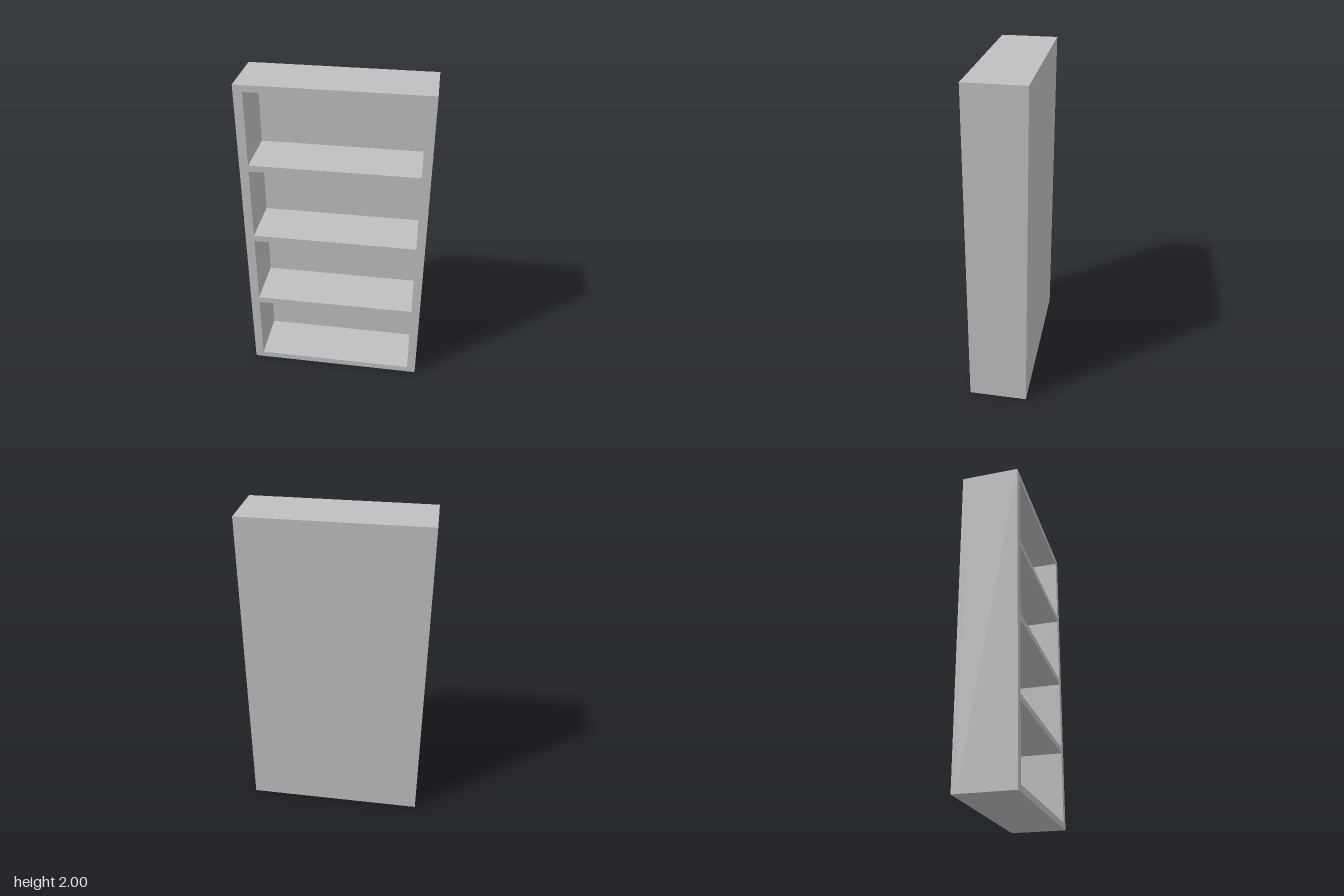
import * as THREE from 'three';

const WIDTH = 1.108, HEIGHT = 2, DEPTH = 0.355;
const SIDE = 0.054, BOARD = 0.04, BACK = 0.027, BAYS = 4;

// Adds a closed rectangle to a shape or hole path
function rect(path, x0, y0, x1, y1) {
  path.moveTo(x0, y0);
  path.lineTo(x1, y0);
  path.lineTo(x1, y1);
  path.lineTo(x0, y1);
  path.closePath();
  return path;
}

export function createModel() {
  const group = new THREE.Group();
  group.name = 'bookcase';
  const grey = new THREE.MeshStandardMaterial({ color: 0xbfbfbf });
  grey.name = 'grey';

  // Sides, top, bottom and shelves in one piece, with an opening per bay
  const outline = rect(new THREE.Shape(), -WIDTH / 2, 0, WIDTH / 2, HEIGHT);
  const pitch = (HEIGHT - BOARD) / BAYS;
  const inner = WIDTH / 2 - SIDE;
  for (let i = 0; i < BAYS; i++) {
    outline.holes.push(rect(new THREE.Path(), -inner, i * pitch + BOARD, inner, (i + 1) * pitch));
  }
  const frameGeometry = new THREE.ExtrudeGeometry(outline, { depth: DEPTH - BACK, bevelEnabled: false });
  const frame = new THREE.Mesh(frameGeometry, grey);
  frame.name = 'frameAndShelves';
  frame.position.z = -DEPTH / 2 + BACK;
  group.add(frame);

  // Back panel closing the bays
  const back = new THREE.Mesh(new THREE.BoxGeometry(WIDTH, HEIGHT, BACK), grey);
  back.name = 'backPanel';
  back.position.set(0, HEIGHT / 2, -DEPTH / 2 + BACK / 2);
  group.add(back);

  return group;
}
